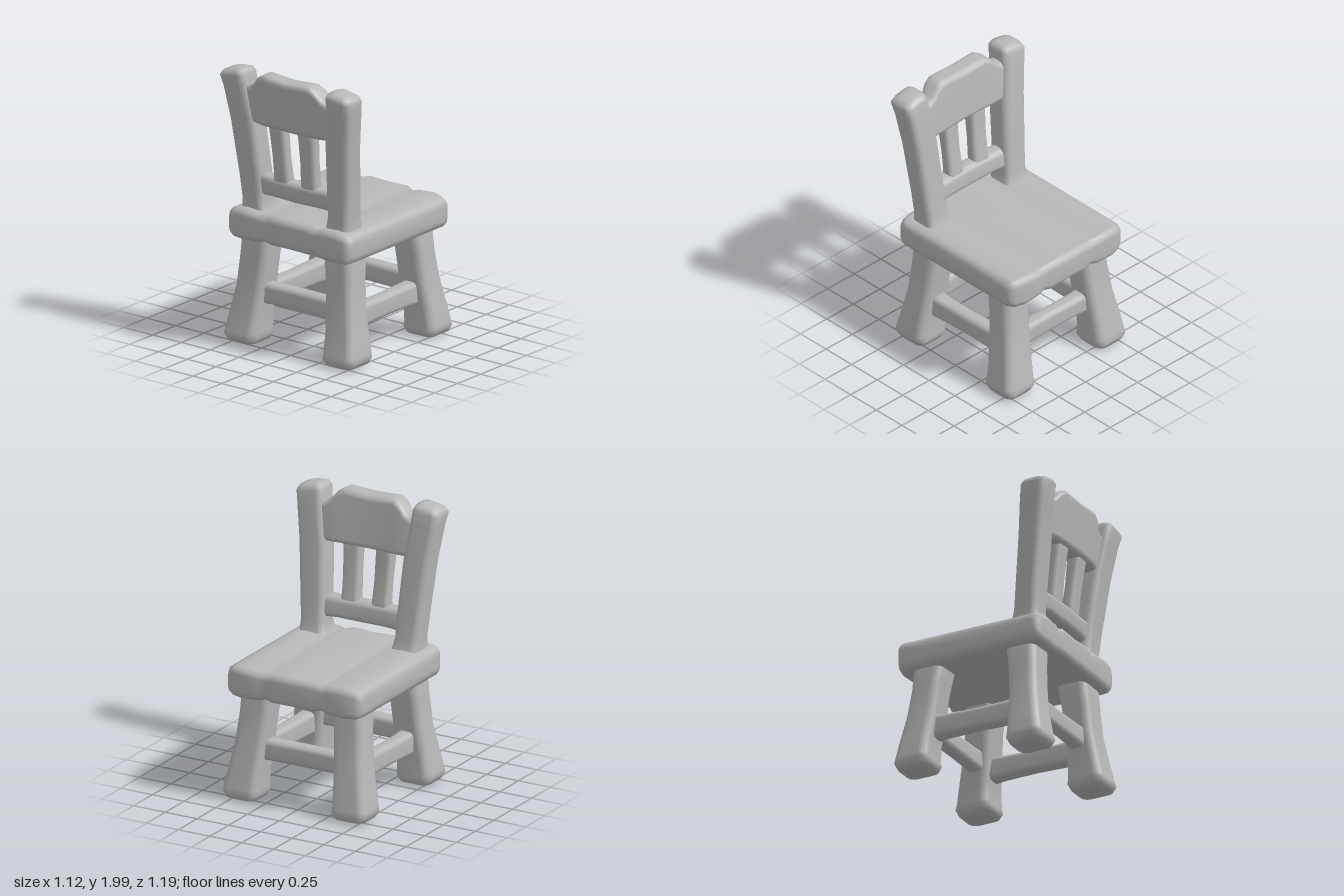
import * as THREE from 'three';

const wood = new THREE.MeshStandardMaterial({ color: 0xb8b8b8 });
wood.name = 'plain grey';

// Loft of rounded rectangles along an axis, with softened ends.
// A section is [t, u0, u1, v0, v1]; (u, v, t) is (z, x, y), (y, z, x) or (x, y, z) for axis y, x, z.
function loft(name, axis, sections, r, bend) {
  const first = sections[0], last = sections[sections.length - 1];
  const inset = (s, t, d) => [t, s[1] + d, s[2] - d, s[3] + d, s[4] - d];
  const all = [
    inset(first, first[0], r), inset(first, first[0] + r * 0.3, r * 0.3), inset(first, first[0] + r, 0),
    ...sections.slice(1, -1),
    inset(last, last[0] - r, 0), inset(last, last[0] - r * 0.3, r * 0.3), inset(last, last[0], r),
  ];
  const pos = [], idx = [], steps = 3, n = 4 * (steps + 1);
  const put = (u, v, t) => {
    const p = axis === 'y' ? new THREE.Vector3(v, t, u)
      : axis === 'x' ? new THREE.Vector3(t, u, v) : new THREE.Vector3(u, v, t);
    if (bend) bend(p);
    pos.push(p.x, p.y, p.z);
  };
  for (const [t, u0, u1, v0, v1] of all) {
    const q = Math.min(r, (u1 - u0) * 0.45, (v1 - v0) * 0.45);
    for (let c = 0; c < 4; c++) {
      const cu = c === 0 || c === 3 ? u1 - q : u0 + q;
      const cv = c < 2 ? v1 - q : v0 + q;
      for (let k = 0; k <= steps; k++) {
        const a = (c + k / steps) * Math.PI / 2;
        put(cu + q * Math.cos(a), cv + q * Math.sin(a), t);
      }
    }
  }
  for (let s = 0; s < all.length - 1; s++) {
    for (let i = 0; i < n; i++) {
      const a = s * n + i, b = s * n + (i + 1) % n;
      idx.push(a, b, b + n, a, b + n, a + n);
    }
  }
  // End caps
  const base = all.length * n, top = (all.length - 1) * n;
  for (const s of [first, last]) put((s[1] + s[2]) / 2, (s[3] + s[4]) / 2, s[0]);
  for (let i = 0; i < n; i++) {
    const j = (i + 1) % n;
    idx.push(base, j, i, base + 1, top + i, top + j);
  }
  const g = new THREE.BufferGeometry();
  g.setAttribute('position', new THREE.Float32BufferAttribute(pos, 3));
  g.setIndex(idx);
  g.computeVertexNormals();
  const mesh = new THREE.Mesh(g, wood);
  mesh.name = name;
  return mesh;
}

const mirrorX = (list) => list.map(([t, a, b, c, d]) => [t, a, b, -d, -c]);
// Sections along x, given for x >= 0 and repeated on the other side
const bothWays = (half) => [
  ...half.slice().reverse().filter((s) => s[0] > 0).map(([t, ...rest]) => [-t, ...rest]), ...half];

export function createModel() {
  const chair = new THREE.Group();
  chair.name = 'chair';

  // Seat of three planks with shallow grooves between them
  chair.add(loft('seat', 'x', bothWays([
    [0, 0.77, 0.98, -0.592, 0.54],
    [0.16, 0.768, 0.985, -0.595, 0.543],
    [0.22, 0.777, 0.968, -0.58, 0.53],
    [0.27, 0.765, 0.978, -0.592, 0.54],
    [0.40, 0.76, 0.986, -0.595, 0.545],
    [0.53, 0.762, 0.975, -0.575, 0.54],
  ]), 0.05));

  const backLeg = [
    [0.01, 0.28, 0.56, 0.295, 0.56],
    [0.10, 0.285, 0.55, 0.295, 0.56],
    [0.22, 0.285, 0.525, 0.29, 0.54],
    [0.42, 0.275, 0.49, 0.272, 0.505],
    [0.62, 0.26, 0.475, 0.255, 0.487],
    [0.85, 0.235, 0.465, 0.235, 0.475],
  ];
  const frontLeg = [
    [0.01, -0.59, -0.32, 0.295, 0.56],
    [0.10, -0.58, -0.33, 0.295, 0.56],
    [0.22, -0.56, -0.325, 0.29, 0.54],
    [0.42, -0.52, -0.30, 0.272, 0.505],
    [0.62, -0.49, -0.28, 0.255, 0.487],
    [0.85, -0.48, -0.25, 0.235, 0.475],
  ];
  // Leaning back post, widened at the foot
  const post = [
    [0.88, 0.25, 0.485, 0.24, 0.47],
    [0.98, 0.275, 0.475, 0.265, 0.463],
    [1.05, 0.292, 0.475, 0.28, 0.463],
    [1.20, 0.31, 0.487, 0.283, 0.477],
    [1.60, 0.355, 0.537, 0.308, 0.512],
    [1.85, 0.385, 0.575, 0.345, 0.547],
    [2.00, 0.40, 0.596, 0.355, 0.562],
  ];
  const slopeTop = (p) => {
    const k = THREE.MathUtils.smoothstep(p.y, 1.85, 1.98);
    p.y -= k * Math.max(0, Math.abs(p.x) - 0.39) * 0.17;
  };
  for (const [side, flip] of [['left', (s) => s], ['right', mirrorX]]) {
    chair.add(loft(side + ' back leg', 'y', flip(backLeg), 0.055));
    chair.add(loft(side + ' front leg', 'y', flip(frontLeg), 0.055));
    chair.add(loft(side + ' back post', 'y', flip(post), 0.045, slopeTop));
  }

  // Stretchers between the legs
  for (const [name, z] of [['back stretcher', 0.38], ['front stretcher', -0.41]]) {
    chair.add(loft(name, 'x', bothWays([
      [0, 0.305, 0.452, z - 0.055, z + 0.055],
      [0.22, 0.303, 0.45, z - 0.058, z + 0.058],
      [0.40, 0.295, 0.455, z - 0.065, z + 0.065],
    ]), 0.035));
  }
  for (const [name, x] of [['left stretcher', 0.39], ['right stretcher', -0.39]]) {
    chair.add(loft(name, 'z', [
      [-0.42, x - 0.065, x + 0.065, 0.24, 0.415],
      [-0.25, x - 0.058, x + 0.058, 0.25, 0.41],
      [0.00, x - 0.055, x + 0.055, 0.25, 0.402],
      [0.22, x - 0.058, x + 0.058, 0.243, 0.402],
      [0.39, x - 0.065, x + 0.065, 0.24, 0.41],
    ], 0.035));
  }

  // Back rails and slats follow the lean and bow slightly backwards
  const lean = (p) => { p.z += 0.38 + 0.118 * (p.y - 1) + 0.02 * (1 - (p.x / 0.35) ** 2); };
  chair.add(loft('top rail', 'x', bothWays([
    [0, 1.61, 1.983, -0.08, 0.07],
    [0.12, 1.61, 1.99, -0.08, 0.07],
    [0.20, 1.61, 1.995, -0.08, 0.07],
    [0.25, 1.61, 1.965, -0.08, 0.068],
    [0.29, 1.61, 1.915, -0.075, 0.06],
    [0.34, 1.61, 1.89, -0.07, 0.06],
    [0.42, 1.60, 1.91, -0.06, 0.06],
  ]), 0.04, lean));
  chair.add(loft('lower rail', 'x', bothWays([
    [0, 1.085, 1.235, -0.065, 0.055],
    [0.20, 1.088, 1.235, -0.065, 0.055],
    [0.38, 1.08, 1.24, -0.065, 0.055],
  ]), 0.04, lean));
  const slat = [
    [1.16, -0.055, 0.045, 0.05, 0.19],
    [1.26, -0.05, 0.045, 0.053, 0.183],
    [1.40, -0.045, 0.042, 0.058, 0.186],
    [1.56, -0.05, 0.045, 0.06, 0.192],
    [1.68, -0.055, 0.05, 0.058, 0.197],
  ];
  chair.add(loft('left slat', 'y', slat, 0.03, lean));
  chair.add(loft('right slat', 'y', mirrorX(slat), 0.03, lean));
  return chair;
}
